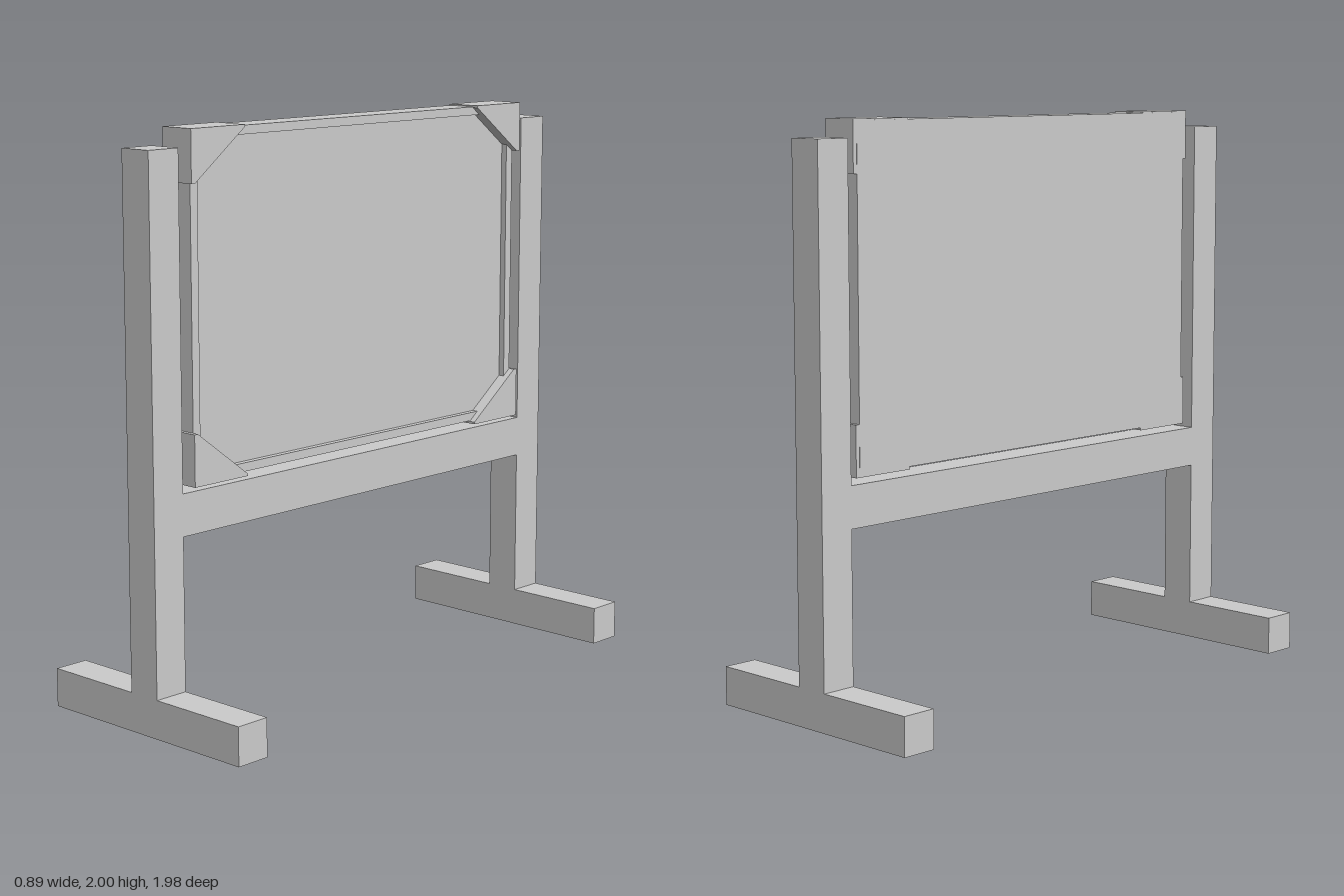
import * as THREE from 'three';

export function createModel() {
  const model = new THREE.Group();
  const material = new THREE.MeshStandardMaterial({ color: 0xcccccc, flatShading: true });

  const add = (name, geometry) => {
    const mesh = new THREE.Mesh(geometry, material);
    mesh.name = name;
    model.add(mesh);
  };
  // Box given by its limits on each axis
  const box = (name, [x0, x1], [y0, y1], [z0, z1]) => {
    const g = new THREE.BoxGeometry(x1 - x0, y1 - y0, z1 - z0);
    g.translate((x0 + x1) / 2, (y0 + y1) / 2, (z0 + z1) / 2);
    add(name, g);
  };
  // Outline in (-z, y), extruded along x from x0 to x1
  const slab = (name, shape, x0, x1) => {
    const g = new THREE.ExtrudeGeometry(shape, { depth: x1 - x0, bevelEnabled: false });
    g.rotateY(Math.PI / 2);
    g.translate(x0, 0, 0);
    add(name, g);
  };
  const outline = (points) => new THREE.Shape(points.map(([a, b]) => new THREE.Vector2(a, b)));
  const rectangle = (w, y0, y1) => outline([[-w, y0], [w, y0], [w, y1], [-w, y1]]);

  // Stand: a post on a long foot at each end, joined by a rail
  for (const [side, z] of [['front', [0.86, 0.988]], ['back', [-0.988, -0.86]]]) {
    box(side + 'Foot', [-0.447, 0.447], [0, 0.135], z);
    box(side + 'Post', [-0.063, 0.063], [0.135, 1.94], z);
  }
  box('crossRail', [-0.063, 0.063], [0.665, 0.81], [-0.86, 0.86]);

  // Board: shallow frame around a slightly recessed panel
  const frame = rectangle(0.81, 0.838, 1.995);
  frame.holes.push(rectangle(0.778, 0.868, 1.965));
  slab('boardFrame', frame, -0.05, 0.062);
  slab('boardPanel', rectangle(0.778, 0.868, 1.965), -0.05, 0.04);

  // Corner caps: cut-off triangles wrapping the board's edges
  for (const s of [1, -1]) {
    for (const [level, y, up] of [['upper', 2, -1], ['lower', 0.828, 1]]) {
      const cap = outline([
        [s * 0.825, y], [s * 0.825, y + up * 0.177], [s * 0.81, y + up * 0.177],
        [s * 0.585, y + up * 0.008], [s * 0.585, y],
      ]);
      slab(level + (s > 0 ? 'Back' : 'Front') + 'CornerCap', cap, -0.049, 0.085);
    }
  }
  return model;
}
